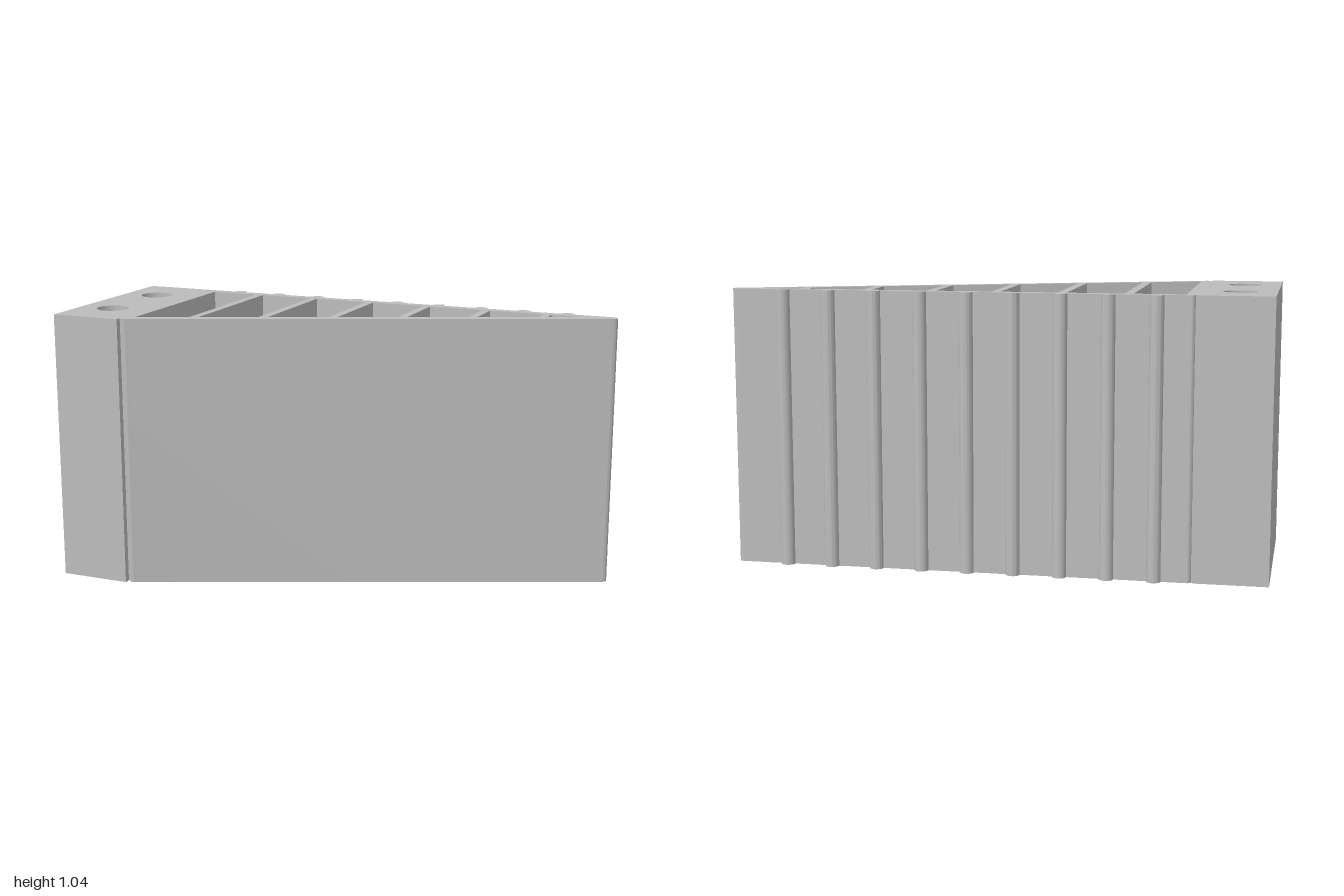
import * as THREE from 'three';
import { toCreasedNormals } from 'three/addons/utils/BufferGeometryUtils.js';

const HEIGHT = 1.04;
const SLOPE = 0.4225;
const BACK = 0.37; // outer face of the back wall (profile y = -z)
const INNER_BACK = 0.332; // inner face of the back wall

// inner face of the sloping wall
const innerSlope = (x) => -0.332 + SLOPE * (x + 0.687);

// plan outline: mounting block, sloping wall, rounded tip, ridged back wall
function createOutline() {
  const s = new THREE.Shape();
  s.moveTo(-1, -0.395);
  s.lineTo(-0.725, -0.395);
  // small groove between block and sloping wall
  s.lineTo(-0.725, -0.372);
  s.lineTo(-0.718, -0.372);
  s.quadraticCurveTo(-0.712, -0.392, -0.69, -0.376);
  // rounded tip
  const tilt = Math.atan(SLOPE);
  s.absarc(0.98, 0.35, 0.02, tilt - Math.PI / 2, Math.PI / 2, false);
  // half-round ridges along the back
  for (let i = 8; i >= 0; i--) {
    s.absarc(-0.585 + i * 0.1732, BACK, 0.026, 0, Math.PI, false);
  }
  // small groove between back wall and block
  s.lineTo(-0.705, BACK);
  s.quadraticCurveTo(-0.718, BACK, -0.72, 0.358);
  s.lineTo(-0.725, 0.358);
  s.lineTo(-0.725, BACK);
  s.lineTo(-1, BACK);
  s.closePath();
  return s;
}

// cells left open between the ribs
function addCells(shape) {
  const ribs = [-0.481, -0.24, 0.003, 0.244, 0.489, 0.732];
  const half = 0.016;
  const tipX = -0.687 + (INNER_BACK + 0.332) / SLOPE;
  const starts = [-0.685, ...ribs.map((x) => x + half)];
  const ends = [...ribs.map((x) => x - half), tipX];
  starts.forEach((x0, i) => {
    const x1 = ends[i];
    const pts = [new THREE.Vector2(x0, innerSlope(x0)), new THREE.Vector2(x0, INNER_BACK), new THREE.Vector2(x1, INNER_BACK)];
    if (x1 < tipX) pts.push(new THREE.Vector2(x1, innerSlope(x1)));
    shape.holes.push(new THREE.Path(pts));
  });
}

// round bolt holes through the block
function addBoltHoles(shape) {
  for (const y of [0.163, -0.185]) {
    shape.holes.push(new THREE.Path().absarc(-0.866, y, 0.062, 0, Math.PI * 2, true));
  }
}

export function createModel() {
  const group = new THREE.Group();
  group.name = 'ribbedWedge';

  const grey = new THREE.MeshStandardMaterial({ color: 0xbcbcbc });
  grey.name = 'light grey';

  const shape = createOutline();
  addCells(shape);
  addBoltHoles(shape);

  const geometry = new THREE.ExtrudeGeometry(shape, { depth: HEIGHT, bevelEnabled: false, curveSegments: 16 });
  geometry.rotateX(-Math.PI / 2); // stand the profile up along y
  const body = new THREE.Mesh(toCreasedNormals(geometry, 0.6), grey);
  body.name = 'wedgeBody';
  group.add(body);
  return group;
}
